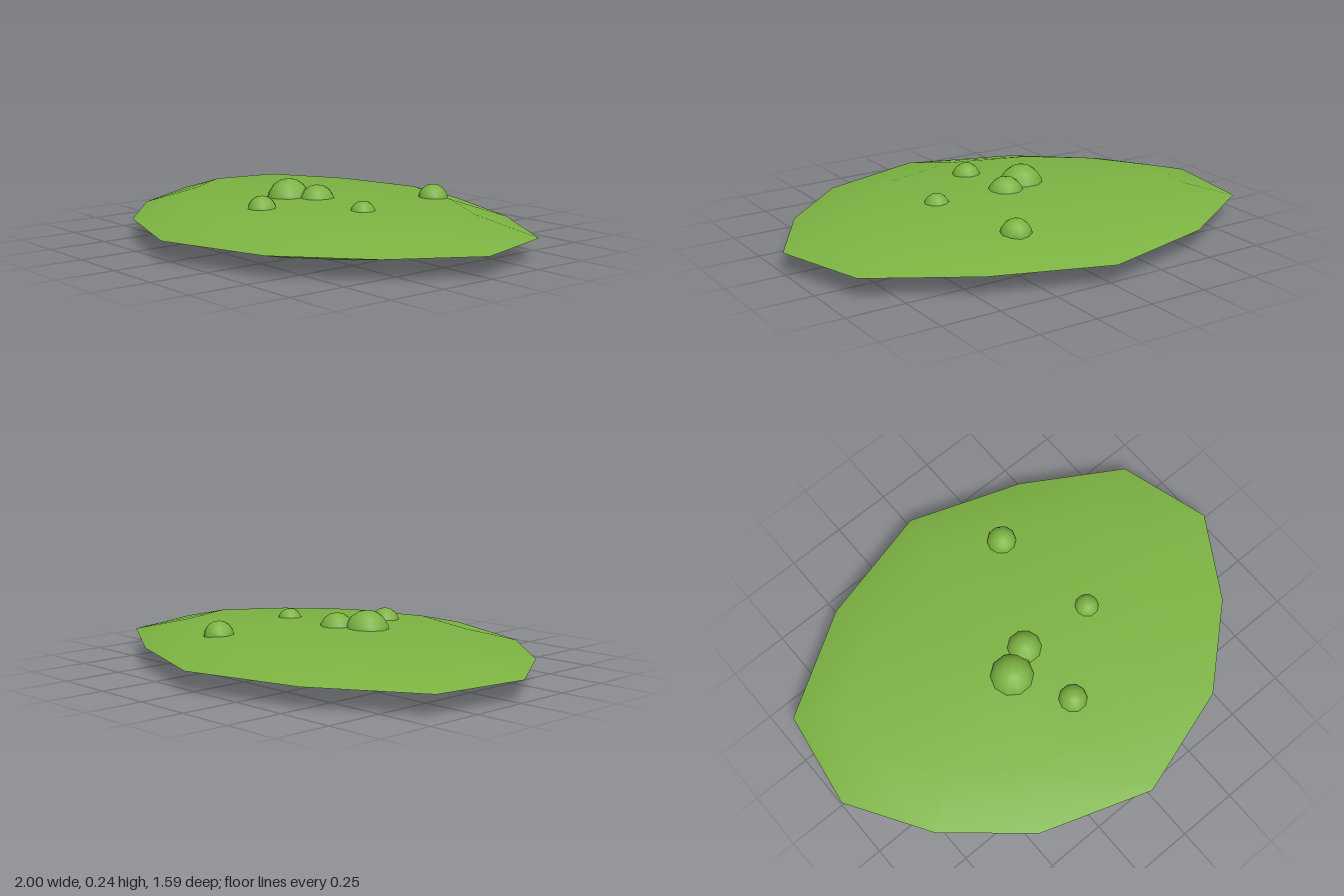
import * as THREE from 'three';

// Irregular twelve-sided rim, as [x, z]
const RIM = [
  [0, -0.795], [0.48, -0.625], [0.885, -0.38], [1, 0.015], [0.79, 0.36], [0.47, 0.645],
  [0, 0.79], [-0.465, 0.63], [-0.785, 0.36], [-1, 0.015], [-0.935, -0.4], [-0.51, -0.665],
];
const RIM_Y = 0.09;

// One half of the pad: pole, inner ring, rim; smooth inside, sharp at the rim
function padHalf({ poleY, ringY, scaleX, scaleZ, shiftX, shiftZ, up }) {
  const n = RIM.length;
  const positions = [0, poleY, 0];
  RIM.forEach(([x, z]) => positions.push(x * scaleX + shiftX, ringY, z * scaleZ + shiftZ));
  RIM.forEach(([x, z]) => positions.push(x, RIM_Y, z));
  const index = [];
  const face = (a, b, c) => (up ? index.push(a, b, c) : index.push(a, c, b));
  for (let i = 0; i < n; i++) {
    const j = (i + 1) % n;
    face(0, 1 + j, 1 + i);
    face(1 + i, 1 + j, 1 + n + i);
    face(1 + j, 1 + n + j, 1 + n + i);
  }
  const geometry = new THREE.BufferGeometry();
  geometry.setAttribute('position', new THREE.Float32BufferAttribute(positions, 3));
  geometry.setIndex(index);
  geometry.computeVertexNormals();
  return geometry;
}

export function createModel() {
  const model = new THREE.Group();
  model.name = 'lilyPad';
  const leafGreen = new THREE.MeshStandardMaterial({ color: 0x7cb342 });
  leafGreen.name = 'leafGreen';

  const add = (name, geometry) => {
    const mesh = new THREE.Mesh(geometry, leafGreen);
    mesh.name = name;
    model.add(mesh);
    return mesh;
  };

  // Flattened leaf body
  add('padTop', padHalf({
    poleY: 0.175, ringY: 0.157, scaleX: 0.74, scaleZ: 0.68, shiftX: -0.04, shiftZ: -0.035, up: true,
  }));
  add('padUnderside', padHalf({
    poleY: 0.003, ringY: 0.026, scaleX: 0.67, scaleZ: 0.635, shiftX: -0.02, shiftZ: 0.025, up: false,
  }));

  // Round bumps half sunk into the top: x, z, radius
  const bumps = [
    [-0.135, 0.06, 0.095], [-0.017, 0, 0.077], [0.225, -0.44, 0.065],
    [0.305, 0.025, 0.054], [-0.007, 0.298, 0.063],
  ];
  bumps.forEach(([x, z, r], i) => {
    add(`bump${i + 1}`, new THREE.SphereGeometry(r, 10, 8)).position.set(x, 0.15, z);
  });

  return model;
}
